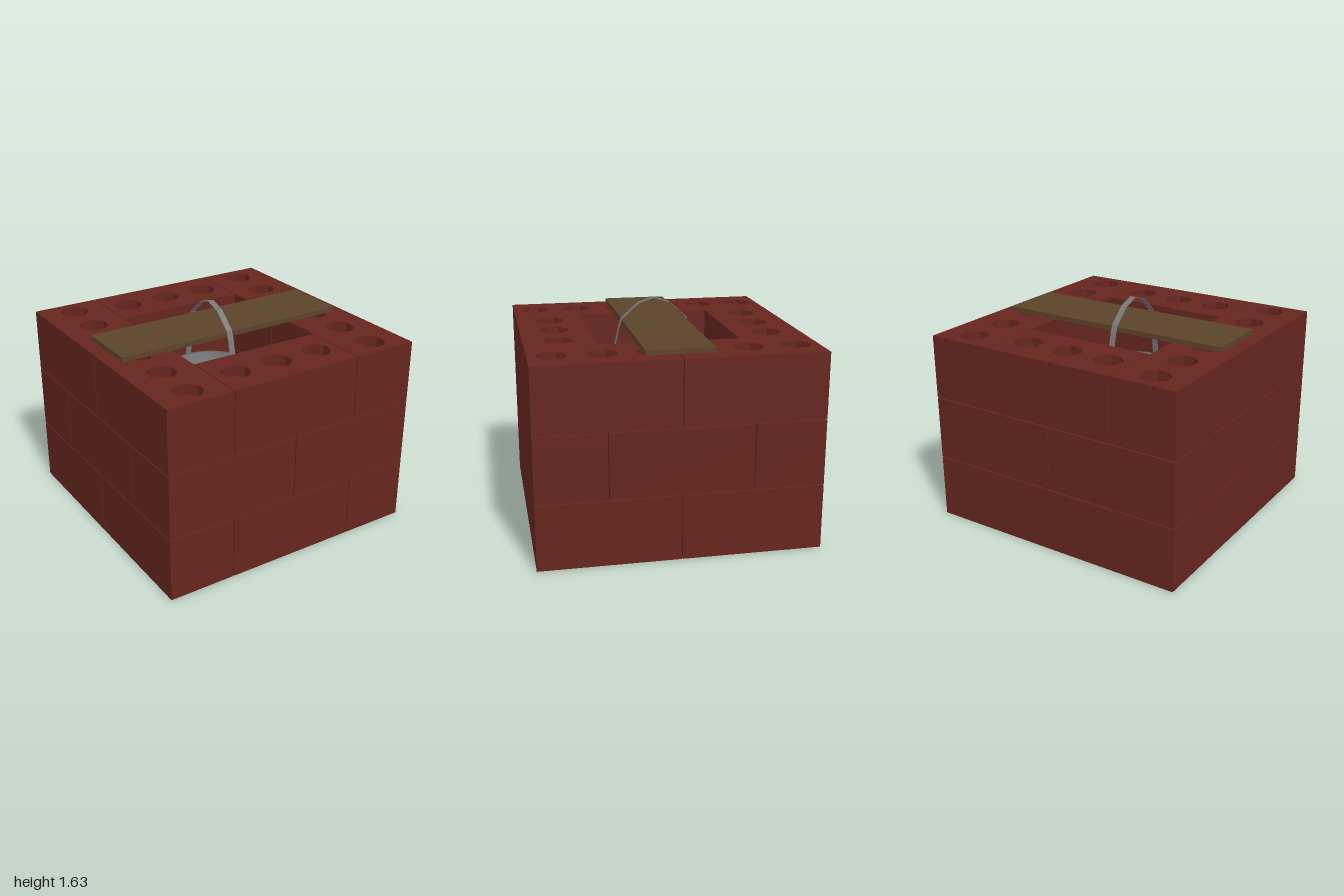
import * as THREE from 'three';
import { mergeGeometries } from 'three/addons/utils/BufferGeometryUtils.js';

const mat = (color, extra = {}) =>
  new THREE.MeshStandardMaterial({ color, flatShading: true, ...extra });

const LAYER = 0.475, HOLE_DEPTH = 0.08, GAP = 0.007;

// One brick, 1 x 0.5, with three blind octagonal holes in its top
function brickGeometry() {
  const w = 1 - GAP, d = 0.5 - GAP, h = LAYER - GAP;
  const shape = new THREE.Shape([
    new THREE.Vector2(-w / 2, -d / 2), new THREE.Vector2(w / 2, -d / 2),
    new THREE.Vector2(w / 2, d / 2), new THREE.Vector2(-w / 2, d / 2),
  ]);
  for (const x of [-1 / 3, 0, 1 / 3]) {
    const pts = [];
    for (let i = 0; i < 8; i++) {
      const a = -(i + 0.5) * Math.PI / 4;
      pts.push(new THREE.Vector2(x + 0.108 * Math.cos(a), 0.108 * Math.sin(a)));
    }
    shape.holes.push(new THREE.Path(pts));
  }
  const top = new THREE.ExtrudeGeometry(shape, { depth: HOLE_DEPTH, bevelEnabled: false });
  top.rotateX(-Math.PI / 2).translate(0, h - HOLE_DEPTH, 0);
  const body = new THREE.BoxGeometry(w, h - HOLE_DEPTH, d).toNonIndexed();
  body.translate(0, (h - HOLE_DEPTH) / 2, 0);
  return mergeGeometries([top, body]);
}

export function createModel() {
  const model = new THREE.Group();
  const add = (name, geometry, material, parent = model) => {
    const mesh = new THREE.Mesh(geometry, material);
    mesh.name = name;
    parent.add(mesh);
    return mesh;
  };

  // Three courses; each ring has two ends of one brick and two sides of two
  const brickGeo = brickGeometry(), brickMat = mat(0x66261e);
  for (let layer = 0; layer < 3; layer++) {
    const course = new THREE.Group();
    course.name = 'brickCourse' + (layer + 1);
    course.position.y = layer * LAYER + GAP / 2;
    course.rotation.y = layer === 1 ? Math.PI / 2 : 0;
    for (const s of [-1, 1]) {
      add('endBrick', brickGeo, brickMat, course).position.z = 0.75 * s;
      for (const t of [-1, 1]) {
        const side = add('sideBrick', brickGeo, brickMat, course);
        side.position.set(0.75 * s, 0, 0.5 * t);
        side.rotation.y = Math.PI / 2;
      }
    }
    model.add(course);
  }

  // Floor inside the shaft
  add('shaftFloor', new THREE.BoxGeometry(1, 0.02, 1), mat(0x5c4510)).position.y = 0.51;

  // Plank across the opening
  add('plank', new THREE.BoxGeometry(1.8, 0.036, 0.475), mat(0x5c432a)).position.y = 1.448;

  // Bucket with a rolled rim, hanging in the shaft
  const bucket = new THREE.Group();
  bucket.name = 'bucket';
  bucket.position.x = -0.05;
  model.add(bucket);
  const metal = mat(0x777777, { side: THREE.DoubleSide, flatShading: false });
  const profile = [
    [0, 0.53], [0.24, 0.53], [0.31, 1.06], [0.328, 1.06],
    [0.328, 1.1], [0.3, 1.1], [0.225, 0.56], [0, 0.56],
  ].map(([r, y]) => new THREE.Vector2(r, y));
  add('bucketBody', new THREE.LatheGeometry(profile, 24), metal, bucket);

  // Handle: thin strap bent over the plank
  const half = [[0.33, 1.08], [0.315, 1.2], [0.265, 1.42], [0.243, 1.48], [0.117, 1.592]];
  const outer = [...half, [0, 1.63], ...half.map(([z, y]) => [-z, y]).reverse()];
  const inner = outer.map(([z, y]) => [z * 0.985, y - 0.004]).reverse();
  const strap = new THREE.Shape([...outer, ...inner].map(([z, y]) => new THREE.Vector2(z, y)));
  const strapGeo = new THREE.ExtrudeGeometry(strap, { depth: 0.045, bevelEnabled: false });
  strapGeo.rotateY(-Math.PI / 2).translate(0.0225, 0, 0);
  add('bucketHandle', strapGeo, mat(0x777777, { side: THREE.DoubleSide }), bucket);

  return model;
}
